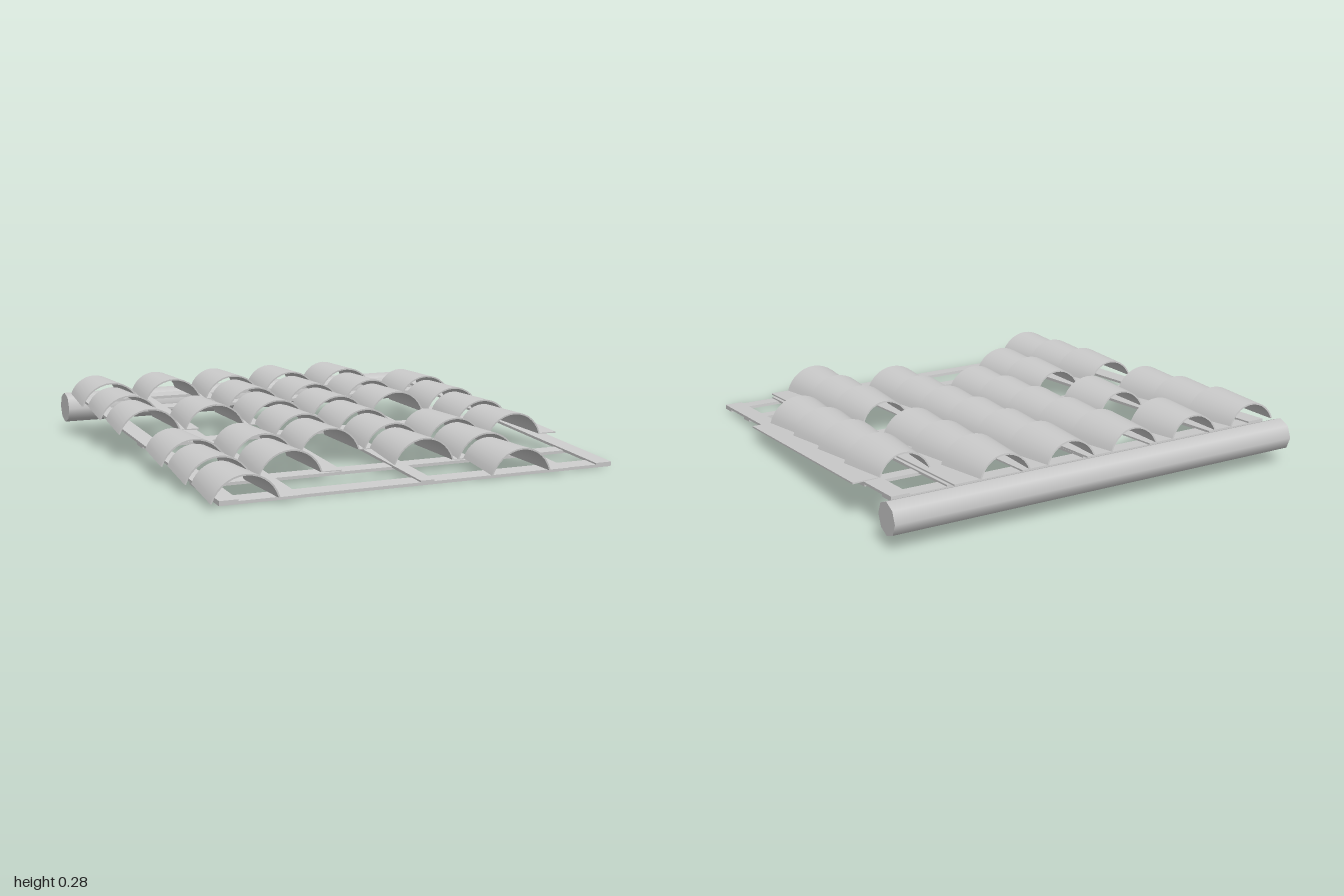
import * as THREE from 'three';
import { toCreasedNormals } from 'three/addons/utils/BufferGeometryUtils.js';

const material = new THREE.MeshStandardMaterial({ color: 0xcccccc });
const PITCH_X = 0.31, PITCH_Z = 0.27, TILE_LENGTH = 0.274, THICK = 0.007;

// Which columns (left edge to right edge) still carry a tile, from the ridge down
const ROWS = ['111110', '101111', '111111', '001101', '111111', '110110', '100010'];

// Cross-section: an arched barrel with a flat pan on its +x side
function tileSection(radius, z) {
  const half = 1.257, steps = 14, base = radius * Math.cos(half);
  const outer = [], inner = [], r = radius - THICK;
  for (let i = 0; i <= steps; i++) {
    const a = -half + (2 * half * i) / steps;
    outer.push([radius * Math.sin(a), radius * Math.cos(a) - base, z]);
    inner.push([r * Math.sin(a), r * Math.cos(a) - base, z]);
  }
  outer.push([0.232, 0, z]);
  inner.push([0.232, -THICK, z]);
  return { outer, inner };
}

// Tile: wide section at the front, narrow one at the back, joined into a thin shell
function tileGeometry() {
  const f = tileSection(0.152, TILE_LENGTH / 2);
  const b = tileSection(0.121, -TILE_LENGTH / 2);
  const positions = [];
  const quad = (p, q, r, s) => positions.push(...p, ...q, ...r, ...p, ...r, ...s);
  const last = f.outer.length - 1;
  for (let i = 0; i < last; i++) {
    quad(f.outer[i], f.outer[i + 1], b.outer[i + 1], b.outer[i]);
    quad(f.inner[i + 1], f.inner[i], b.inner[i], b.inner[i + 1]);
    quad(f.outer[i], f.inner[i], f.inner[i + 1], f.outer[i + 1]);
    quad(b.outer[i + 1], b.inner[i + 1], b.inner[i], b.outer[i]);
  }
  quad(f.inner[0], f.outer[0], b.outer[0], b.inner[0]);
  quad(f.outer[last], f.inner[last], b.inner[last], b.outer[last]);
  const geometry = new THREE.BufferGeometry();
  geometry.setAttribute('position', new THREE.Float32BufferAttribute(positions, 3));
  return toCreasedNormals(geometry, 0.6);
}

function addMesh(parent, name, geometry, x, y, z) {
  const mesh = new THREE.Mesh(geometry, material);
  mesh.name = name;
  mesh.position.set(x, y, z);
  parent.add(mesh);
  return mesh;
}

export function createModel() {
  const model = new THREE.Group();
  model.name = 'tiledRoof';

  // Everything but the ridge pole lies on one gentle slope
  const slope = new THREE.Group();
  slope.name = 'roofSlope';
  slope.position.y = 0.112;
  slope.rotation.x = 0.09;
  model.add(slope);

  // Wooden frame: rafters down the slope, battens across beneath them
  const frame = new THREE.Group();
  frame.name = 'frame';
  slope.add(frame);
  for (const [x, width] of [[-0.87, 0.08], [-0.635, 0.07], [0, 0.065], [0.635, 0.065], [0.87, 0.08]])
    addMesh(frame, 'rafter', new THREE.BoxGeometry(width, 0.011, 1.82), x, -0.0125, 0.038);
  for (const [z, width] of [[-0.832, 0.08], [-0.595, 0.07], [0.035, 0.07], [0.67, 0.068], [0.909, 0.078]])
    addMesh(frame, 'batten', new THREE.BoxGeometry(1.82, 0.013, width), 0, -0.0205, z);

  // Roof tiles, with gaps where some are missing
  const tiles = new THREE.Group();
  tiles.name = 'tiles';
  slope.add(tiles);
  const geometry = tileGeometry();
  ROWS.forEach((row, r) => {
    [...row].forEach((present, c) => {
      if (present === '1')
        addMesh(tiles, 'roofTile', geometry, -0.82 + c * PITCH_X, 0, -0.768 + r * PITCH_Z * 1.003);
    });
  });

  // Ridge pole along the top edge
  const pole = addMesh(model, 'ridgePole', new THREE.CylinderGeometry(0.071, 0.071, 1.92, 8), 0, 0.124, -0.929);
  pole.rotation.z = Math.PI / 2;

  return model;
}
